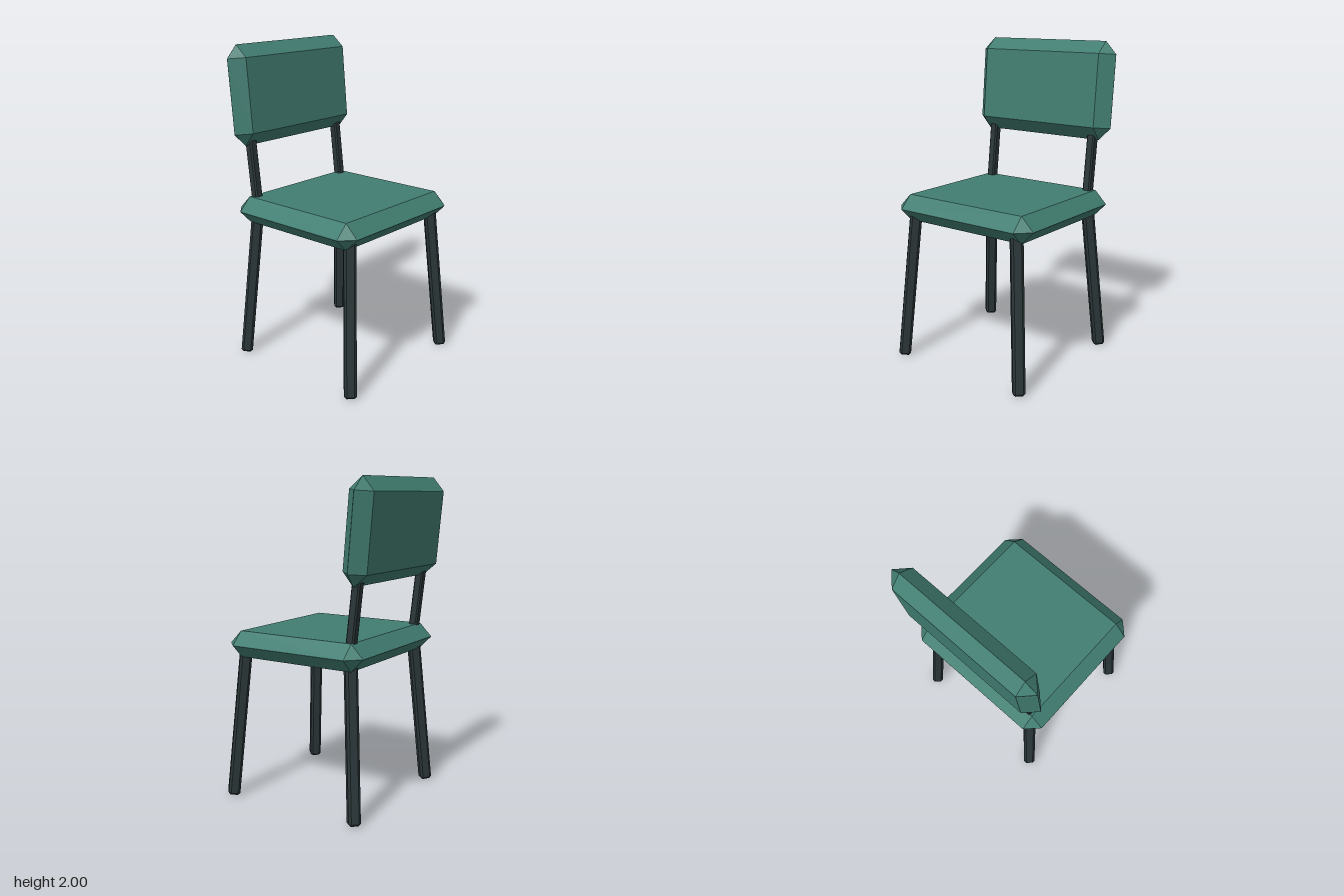
import * as THREE from 'three';
import { ConvexGeometry } from 'three/addons/geometries/ConvexGeometry.js';

// Box with flat chamfers of size c on every edge, given half sizes
function chamferBox(hx, hy, hz, c) {
  const points = [];
  for (const sx of [-1, 1]) for (const sy of [-1, 1]) for (const sz of [-1, 1]) {
    points.push(
      new THREE.Vector3(sx * hx, sy * (hy - c), sz * (hz - c)),
      new THREE.Vector3(sx * (hx - c), sy * hy, sz * (hz - c)),
      new THREE.Vector3(sx * (hx - c), sy * (hy - c), sz * hz)
    );
  }
  return new ConvexGeometry(points);
}

export function createModel() {
  const group = new THREE.Group();
  const teal = new THREE.MeshStandardMaterial({ color: 0x417d71 });
  teal.name = 'teal padding';
  const dark = new THREE.MeshStandardMaterial({ color: 0x2b3638 });
  dark.name = 'dark frame';

  const add = (name, geometry, material) => {
    const mesh = new THREE.Mesh(geometry, material);
    mesh.name = name;
    group.add(mesh);
    return mesh;
  };

  // Chamfered bar running from a to b, turned about its own axis
  const bar = (name, a, b, half, c, turn) => {
    const start = new THREE.Vector3(...a), end = new THREE.Vector3(...b);
    const dir = end.clone().sub(start);
    const geometry = chamferBox(half, dir.length() / 2, half, c).rotateY(turn);
    const mesh = add(name, geometry, dark);
    mesh.position.addVectors(start, end).multiplyScalar(0.5);
    mesh.quaternion.setFromUnitVectors(new THREE.Vector3(0, 1, 0), dir.normalize());
  };

  // Seat cushion, chamfered down to a ridge all round
  add('seat', chamferBox(0.512, 0.082, 0.48, 0.0815), teal).position.set(0, 0.987, 0.02);

  // Backrest, leaning backwards
  const back = add('backrest', chamferBox(0.512, 0.306, 0.079, 0.0785), teal);
  back.position.set(0, 1.695, -0.423);
  back.rotation.x = -0.09;

  for (const [side, s] of [['left', 1], ['right', -1]]) {
    // Splayed legs with a face turned to the diagonal
    bar(side + 'FrontLeg', [s * 0.462, 0.004, 0.481], [s * 0.389, 0.97, 0.41], 0.037, 0.014, Math.PI / 4);
    bar(side + 'BackLeg', [s * 0.462, 0.004, -0.422], [s * 0.389, 0.97, -0.351], 0.037, 0.014, Math.PI / 4);
    // Posts joining seat and backrest
    bar(side + 'BackPost', [s * 0.388, 0.99, -0.348], [s * 0.388, 1.45, -0.401], 0.0275, 0.009, 0);
  }
  return group;
}
